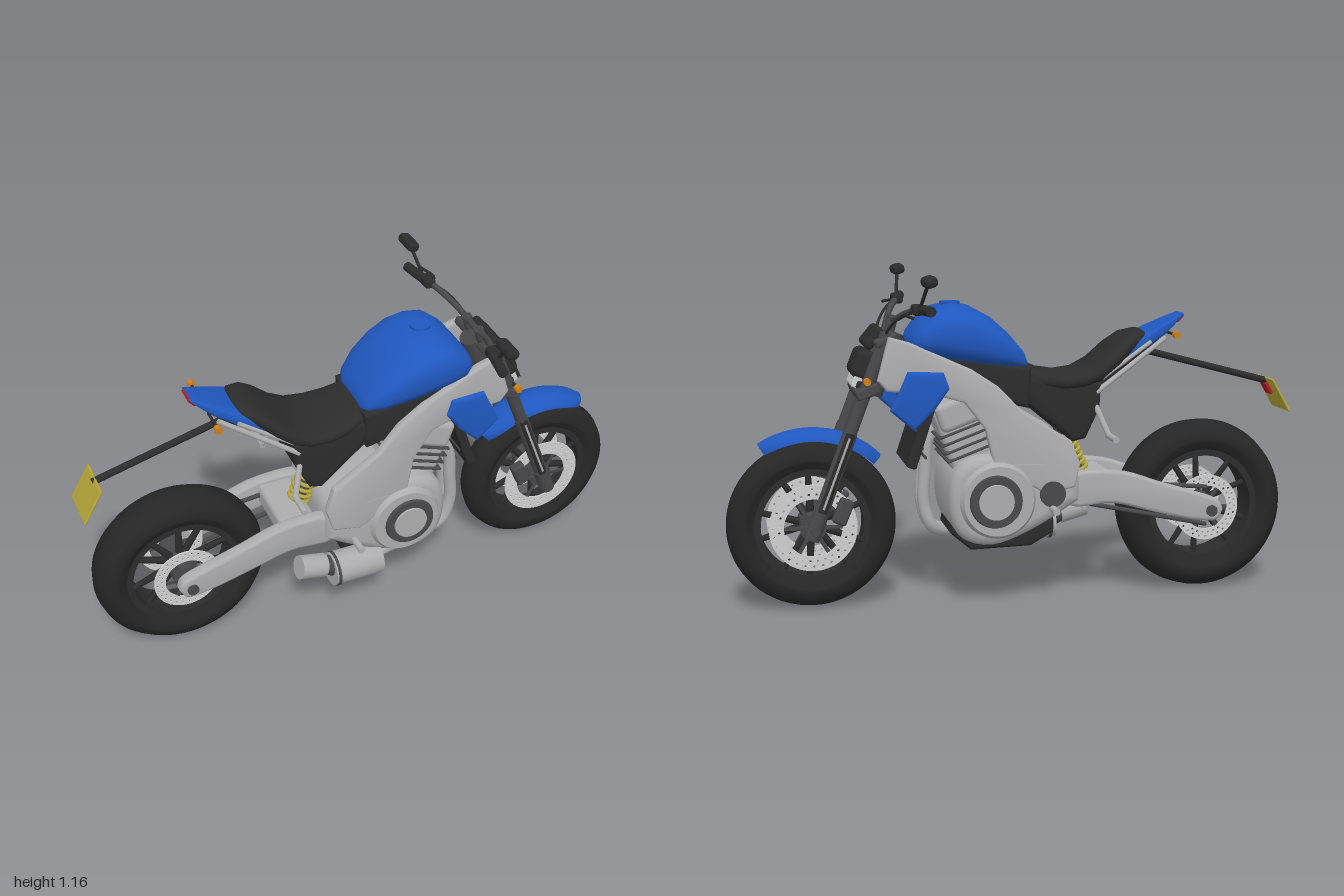
import * as THREE from 'three';
import { toCreasedNormals } from 'three/addons/utils/BufferGeometryUtils.js';
import { RoundedBoxGeometry } from 'three/addons/geometries/RoundedBoxGeometry.js';

const mat = (name, color, side = THREE.FrontSide) => {
  const m = new THREE.MeshStandardMaterial({ color, side });
  m.name = name;
  return m;
};
const blue = mat('blue paint', 0x2058c0, THREE.DoubleSide);
const rubber = mat('tyre rubber', 0x262626);
const black = mat('black plastic', 0x2c2c2c);
const steel = mat('dark metal', 0x48484b);
const grey = mat('grey metal', 0xacacae);
const silver = mat('light metal', 0xcfcfd0);
const orange = mat('orange lens', 0xd08018);
const red = mat('red lens', 0xb01c28);
const yellow = mat('yellow', 0xb8a83a);
const V = (p) => new THREE.Vector3(...p);

export function createModel() {
  const root = new THREE.Group();
  root.name = 'motorcycle';
  const add = (name, geo, material, pos = [0, 0, 0], rotZ = 0, parent = root) => {
    const m = new THREE.Mesh(geo, material);
    m.name = name;
    m.position.set(...pos);
    m.rotation.z = rotZ;
    parent.add(m);
    return m;
  };
  const box = (name, size, pos, material, rotZ = 0, r = 0.01, parent = root) =>
    add(name, new RoundedBoxGeometry(...size, 3, Math.min(r, ...size.map((s) => s * 0.49))), material, pos, rotZ, parent);
  // Cylinder between two points
  const rod = (name, a, b, r, material, r2 = r, parent = root, sides = 24) => {
    const A = V(a), B = V(b), d = B.clone().sub(A);
    const m = add(name, new THREE.CylinderGeometry(r2, r, d.length(), sides), material, [0, 0, 0], 0, parent);
    m.position.copy(A).add(B).multiplyScalar(0.5);
    m.quaternion.setFromUnitVectors(new THREE.Vector3(0, 1, 0), d.normalize());
    return m;
  };
  const tube = (name, pts, r, material) =>
    add(name, new THREE.TubeGeometry(new THREE.CatmullRomCurve3(pts.map(V)), 40, r, 12), material);
  // Side outline extruded across z, with softened edges
  const plate = (name, pts, z0, z1, material, bevel = 0.008, smooth = false, lean = 0) => {
    const p = pts.map((q) => new THREE.Vector2(...q));
    const shape = new THREE.Shape();
    if (smooth) { shape.moveTo(p[0].x, p[0].y); shape.splineThru([...p.slice(1), p[0]]); } else shape.setFromPoints(p);
    const g = new THREE.ExtrudeGeometry(shape, {
      depth: z1 - z0 - 2 * bevel, bevelEnabled: bevel > 0, bevelThickness: bevel, bevelSize: bevel,
      bevelOffset: -bevel, bevelSegments: 3, curveSegments: 4,
    });
    g.translate(0, 0, z0 + bevel);
    const a = g.attributes.position;
    const s = Math.sign(z0 + z1);
    for (let i = 0; i < a.count; i++) a.setZ(i, a.getZ(i) + s * lean * (0.94 - a.getY(i)));
    return add(name, toCreasedNormals(g, 0.6), material);
  };
  const sides = (f) => [1, -1].forEach(f);
  const pair = (name, pts, z0, z1, ...rest) =>
    sides((s) => plate(name, pts, s > 0 ? z0 : -z1, s > 0 ? z1 : -z0, ...rest));
  // Rounded skin through stations [x, bottom, top, half width]
  const loft = (name, st, material, power = 0.75, n = 32) => {
    const cap = ([x, b, t]) => [x, (b + t) / 2, (b + t) / 2, 0];
    const all = [cap(st[0]), ...st, cap(st[st.length - 1])];
    const pos = [], idx = [];
    const pw = (v) => Math.sign(v) * Math.abs(v) ** power;
    all.forEach(([x, b, t, w], i) => {
      for (let j = 0; j < n; j++) {
        const u = (j / n) * Math.PI * 2;
        pos.push(x, (b + t) / 2 + pw(Math.sin(u)) * (t - b) / 2, pw(Math.cos(u)) * w);
        if (i === all.length - 1) continue;
        const k = (j + 1) % n, a = i * n + j, d = i * n + k;
        idx.push(a, a + n, d + n, a, d + n, d);
      }
    });
    const g = new THREE.BufferGeometry();
    g.setAttribute('position', new THREE.Float32BufferAttribute(pos, 3));
    g.setIndex(idx);
    g.computeVertexNormals();
    return add(name, g, material);
  };
  const lathe = (pts, seg = 64, start = 0, len = Math.PI * 2) =>
    new THREE.LatheGeometry(pts.map((q) => new THREE.Vector2(...q)), seg, start, len).rotateX(Math.PI / 2);

  // Wheels: tyre, rim, paired spokes, drilled discs
  const disc = (ro, ri) => {
    const s = new THREE.Shape().absarc(0, 0, ro, 0, Math.PI * 2);
    s.holes.push(new THREE.Path().absarc(0, 0, ri, 0, Math.PI * 2, true));
    for (let k = 0; k < 56; k++) {
      const a = (k / 56) * Math.PI * 2, r = ri + (ro - ri) * (k % 2 ? 0.33 : 0.7);
      s.holes.push(new THREE.Path().absarc(r * Math.cos(a), r * Math.sin(a), 0.0042, 0, Math.PI * 2, true));
    }
    return new THREE.ExtrudeGeometry(s, { depth: 0.006, bevelEnabled: false, curveSegments: 20 }).translate(0, 0, -0.003);
  };
  const wheel = (name, x, y, R, w, rim, discR, discZ) => {
    const g = new THREE.Group();
    g.name = name;
    g.position.set(x, y, 0);
    root.add(g);
    const half = [[rim, 0.7], [rim + 0.025, 0.9], [R - 0.06, 1], [R - 0.03, 0.85], [R - 0.008, 0.5]];
    add('tyre', lathe([...half.map(([r, z]) => [r, -z * w]), [R, 0], ...half.reverse().map(([r, z]) => [r, z * w])]), rubber, [0, 0, 0], 0, g);
    const o = rim + 0.004, i = rim - 0.02, z = 0.72 * w;
    add('rim', toCreasedNormals(lathe([[o, -z], [o, z], [i, z], [i + 0.008, 0], [i, -z], [o, -z]]), 0.5), black, [0, 0, 0], 0, g);
    rod('hub', [0, 0, -discZ], [0, 0, discZ], 0.045, steel, 0.045, g);
    for (let k = 0; k < 10; k++) {
      const a = (Math.floor(k / 2) / 5) * Math.PI * 2 + (k % 2 ? 0.2 : -0.2), e = a + (k % 2 ? 0.06 : -0.06);
      rod('spoke', [0.03 * Math.cos(a), 0.03 * Math.sin(a), 0], [rim * Math.cos(e), rim * Math.sin(e), 0], 0.014, black, 0.01, g, 8);
    }
    sides((s) => {
      add('brakeDisc', disc(discR, discR * 0.66), silver, [0, 0, s * discZ], 0, g);
      for (let k = 0; k < 6; k++) {
        const a = (k / 6) * Math.PI * 2;
        box('discCarrier', [discR * 0.7, 0.014, 0.005], [discR * 0.36 * Math.cos(a), discR * 0.36 * Math.sin(a), s * discZ], steel, a, 0.002, g);
      }
    });
  };
  wheel('rearWheel', -0.685, 0.307, 0.305, 0.085, 0.2, 0.118, 0.095);
  wheel('frontWheel', 0.705, 0.295, 0.29, 0.06, 0.195, 0.15, 0.07);

  // Front fender: arc shell narrowed toward its ends
  const fender = lathe([[0.295, -0.066], [0.315, -0.06], [0.328, -0.04], [0.335, 0], [0.328, 0.04], [0.315, 0.06], [0.295, 0.066]],
    24, THREE.MathUtils.degToRad(148), THREE.MathUtils.degToRad(78));
  const fp = fender.attributes.position;
  for (let i = 0; i < fp.count; i++) {
    const a = Math.atan2(fp.getY(i), fp.getX(i)), u = Math.abs((a - 1.69) / 0.69);
    fp.setZ(i, fp.getZ(i) * (1 - 0.45 * u ** 5));
  }
  fender.computeVertexNormals();
  add('frontFender', fender, blue, [0.705, 0.295, 0]);

  // Fork and steering head
  const fork = (t, z) => [0.45 + 0.255 * t, 0.955 - 0.665 * t, z];
  sides((s) => {
    const z = s * 0.106;
    rod('forkUpper', fork(0, z), fork(0.55, z), 0.022, steel);
    rod('forkLower', fork(0.5, z), fork(0.98, z), 0.025, steel);
    rod('forkGuard', fork(0.5, s * 0.118), fork(0.9, s * 0.118), 0.017, black);
    rod('forkStrip', fork(0.52, s * 0.13), fork(0.88, s * 0.13), 0.006, grey);
    rod('forkFoot', fork(0.9, z), fork(1.04, z), 0.028, steel);
    box('caliper', [0.05, 0.09, 0.04], [0.605, 0.35, s * 0.085], steel, 0.4);
  });
  rod('frontAxle', [0.705, 0.295, -0.135], [0.705, 0.295, 0.135], 0.016, steel);
  box('upperClamp', [0.08, 0.03, 0.26], [0.455, 0.93, 0], steel, -0.36);
  box('lowerClamp', [0.08, 0.04, 0.26], [0.52, 0.76, 0], steel, -0.36);
  rod('steeringHead', [0.42, 0.95, 0], [0.5, 0.74, 0], 0.045, steel);

  // Headlight and instruments
  box('instrumentCowl', [0.035, 0.085, 0.175], [0.49, 0.935, 0], black, 0.7, 0.016);
  box('headlight', [0.07, 0.1, 0.175], [0.525, 0.845, 0], black, 0.38, 0.025);
  box('headlightLens', [0.03, 0.065, 0.16], [0.545, 0.8, 0], silver, 0.38, 0.006);
  box('headlightRim', [0.05, 0.03, 0.17], [0.53, 0.775, 0], black, 0.38);

  // Handlebar, grips, levers and mirrors
  tube('handlebar', [[0.34, 1.045, -0.36], [0.36, 1.045, -0.28], [0.39, 1.03, -0.19], [0.42, 1, -0.09], [0.42, 0.995, 0],
    [0.42, 1, 0.09], [0.39, 1.03, 0.19], [0.36, 1.045, 0.28], [0.34, 1.045, 0.36]], 0.011, steel);
  sides((s) => {
    rod('grip', [0.36, 1.045, s * 0.26], [0.342, 1.045, s * 0.365], 0.017, black);
    box('switchBox', [0.04, 0.035, 0.06], [0.368, 1.043, s * 0.25], black);
    tube('lever', [[0.385, 1.04, s * 0.24], [0.41, 1.03, s * 0.29], [0.395, 1.025, s * 0.38]], 0.005, black);
    rod('mirrorStalk', [0.365, 1.05, s * 0.285], [0.35, 1.13, s * 0.355], 0.006, black);
    box('mirror', [0.045, 0.035, 0.098], [0.348, 1.14, s * 0.368], black, -0.3, 0.015);
    rod('barRiser', [0.44, 0.935, s * 0.045], [0.42, 1.005, s * 0.045], 0.017, steel);
    tube('cable', [[0.38, 1.04, s * 0.24], [0.43, 1, s * 0.17], [0.46, 0.94, s * 0.11], [0.46, 0.86, s * 0.06]], 0.005, black);
    // Turn signals
    rod('frontSignalStalk', [0.52, 0.8, s * 0.1], [0.525, 0.8, s * 0.155], 0.005, black);
    rod('frontSignal', [0.525, 0.8, s * 0.148], [0.525, 0.8, s * 0.17], 0.012, orange);
    rod('rearSignalStalk', [-0.55, 0.93, s * 0.04], [-0.55, 0.93, s * 0.13], 0.005, black);
    rod('rearSignal', [-0.55, 0.93, s * 0.125], [-0.55, 0.93, s * 0.148], 0.012, orange);
  });

  // Tank, seat and tail
  loft('fuelTank', [[-0.035, 0.82, 0.85, 0.085], [-0.02, 0.815, 0.885, 0.12], [0.03, 0.815, 0.945, 0.15], [0.09, 0.82, 0.998, 0.166],
    [0.16, 0.83, 1.036, 0.174], [0.22, 0.84, 1.046, 0.174], [0.28, 0.855, 1.035, 0.17], [0.33, 0.87, 0.995, 0.155],
    [0.36, 0.89, 0.955, 0.125], [0.372, 0.905, 0.93, 0.08]], blue);
  rod('fuelCap', [0.22, 1.035, 0], [0.22, 1.05, 0], 0.035, blue);
  loft('seat', [[-0.465, 0.915, 0.935, 0.06], [-0.45, 0.895, 0.945, 0.085], [-0.4, 0.855, 0.935, 0.115], [-0.35, 0.81, 0.9, 0.135],
    [-0.29, 0.765, 0.845, 0.142], [-0.23, 0.745, 0.812, 0.142], [-0.16, 0.74, 0.803, 0.14], [-0.09, 0.745, 0.815, 0.128],
    [-0.03, 0.75, 0.84, 0.115], [0, 0.77, 0.85, 0.1]], black);
  loft('tail', [[-0.605, 0.985, 0.998, 0.042], [-0.54, 0.925, 0.972, 0.068], [-0.46, 0.875, 0.935, 0.095],
    [-0.4, 0.845, 0.9, 0.108], [-0.33, 0.79, 0.835, 0.112], [-0.26, 0.75, 0.775, 0.1]], blue, 0.5);
  sides((s) => {
    rod('subframeRail', [-0.53, 0.915, s * 0.075], [-0.27, 0.735, s * 0.118], 0.009, grey);
    rod('tailTrim', [-0.47, 0.905, s * 0.1], [-0.29, 0.785, s * 0.122], 0.007, grey);
  });
  box('tailLight', [0.012, 0.035, 0.07], [-0.598, 0.98, 0], red, 0.7, 0.004);
  box('undertray', [0.26, 0.03, 0.13], [-0.4, 0.84, 0], black, -0.62);

  // Plate holder
  rod('plateArm', [-0.42, 0.88, 0], [-0.945, 0.742, 0], 0.012, black);
  box('numberPlate', [0.008, 0.135, 0.16], [-0.967, 0.698, 0], yellow, -0.53, 0.003);
  box('plateReflector', [0.012, 0.045, 0.05], [-0.942, 0.717, 0], red, -0.53, 0.003);

  // Frame beams and centre body
  pair('frameBeam', [[-0.2, 0.5], [-0.17, 0.58], [0.0, 0.685], [0.08, 0.77], [0.17, 0.83], [0.38, 0.925], [0.45, 0.945], [0.49, 0.8],
    [0.46, 0.765], [0.3, 0.75], [0.2, 0.72], [0.13, 0.63], [0.1, 0.5], [-0.08, 0.4], [-0.18, 0.42]], 0.115, 0.15, grey, 0.01, false, 0.08);
  plate('sidePanels', [[-0.29, 0.77], [0.0, 0.8], [-0.03, 0.7], [-0.15, 0.6], [-0.19, 0.565], [-0.235, 0.575], [-0.285, 0.68]], -0.125, 0.125, black, 0.02);
  plate('airbox', [[-0.04, 0.83], [0.3, 0.88], [0.3, 0.76], [0.1, 0.72], [-0.03, 0.69]], -0.135, 0.135, black, 0.015);

  // Engine
  plate('crankcase', [[-0.2, 0.37], [-0.19, 0.49], [-0.1, 0.535], [0.08, 0.54], [0.19, 0.525], [0.245, 0.46], [0.25, 0.34],
    [0.21, 0.255], [0.1, 0.225], [-0.05, 0.28]], -0.185, 0.185, grey, 0.035, true);
  box('cylinderBlock', [0.17, 0.26, 0.25], [0.18, 0.59, 0], grey, -0.35, 0.02);
  box('cylinderHead', [0.16, 0.1, 0.3], [0.21, 0.685, 0], grey, -0.35, 0.02);
  for (let k = 0; k < 4; k++) box('coolingFin', [0.19, 0.008, 0.27], [0.165 + k * 0.01, 0.545 + k * 0.027, 0], steel, -0.35, 0.003);
  sides((s) => {
    rod('sideCase', [0.09, 0.385, s * 0.17], [0.09, 0.385, s * 0.205], 0.14, grey, 0.12, root, 40);
    rod('coverRing', [0.1, 0.385, s * 0.2], [0.1, 0.385, s * 0.215], 0.093, steel, 0.088, root, 40);
    rod('coverCap', [0.1, 0.385, s * 0.2], [0.1, 0.385, s * 0.222], 0.065, grey, 0.06, root, 40);
  });
  rod('sprocketCover', [-0.1, 0.4, -0.17], [-0.1, 0.4, -0.195], 0.045, steel);
  plate('skidPlate', [[-0.12, 0.3], [0.23, 0.32], [0.24, 0.26], [0.17, 0.2], [-0.04, 0.205], [-0.12, 0.25]], -0.12, 0.12, black, 0.01);

  // Radiator and shrouds
  box('radiator', [0.035, 0.27, 0.27], [0.335, 0.625, 0], black, 0.32, 0.008);
  for (let k = 0; k < 7; k++) box('radiatorFin', [0.006, 0.01, 0.23], [0.322 + k * 0.0106 + 0.002, 0.71 - k * 0.032 + 0.01, 0], steel, 0.32, 0.002)
    .position.x = 0.387 - (6 - (6 - k)) * 0.0 - 0.006 - (0.0 + k * 0.0) + (k - 3) * -0.0107 - 0.025;
  pair('radiatorShroud', [[0.27, 0.825], [0.39, 0.83], [0.45, 0.7], [0.37, 0.63], [0.3, 0.7], [0.25, 0.77]], 0.14, 0.176, blue, 0.012);

  // Exhaust
  [0.1, 0.04].forEach((z) => tube('exhaustHeader', [[0.25, 0.64, z], [0.295, 0.56, z], [0.305, 0.45, z], [0.31, 0.34, z],
    [0.28, 0.255, z], [0.2, 0.222, 0.1], [0.05, 0.21, 0.12], [-0.05, 0.21, 0.15]], 0.022, grey));
  rod('muffler', [0, 0.215, 0.155], [-0.185, 0.225, 0.165], 0.06, grey);
  rod('mufflerBand', [-0.165, 0.224, 0.165], [-0.175, 0.224, 0.165], 0.063, steel);
  rod('mufflerNeck', [-0.17, 0.235, 0.165], [-0.23, 0.265, 0.165], 0.035, steel);
  rod('mufflerTip', [-0.21, 0.255, 0.165], [-0.305, 0.28, 0.17], 0.042, grey);

  // Swingarm, chain and shock
  pair('swingarm', [[-0.73, 0.31], [-0.71, 0.345], [-0.63, 0.375], [-0.5, 0.415], [-0.36, 0.46], [-0.2, 0.465], [-0.12, 0.42],
    [-0.18, 0.345], [-0.32, 0.35], [-0.46, 0.315], [-0.6, 0.28], [-0.7, 0.27]], 0.11, 0.157, grey, 0.012, true);
  box('swingarmBridge', [0.13, 0.08, 0.26], [-0.28, 0.41, 0], grey, 0, 0.02);
  rod('rearAxle', [-0.685, 0.307, -0.165], [-0.685, 0.307, 0.165], 0.02, steel);
  [0.075, -0.06].forEach((d) => rod('chainRun', [-0.685, 0.307 + d, -0.1], [-0.12, 0.4 + d * 0.5, -0.1], 0.008, steel));
  rod('shockBody', [-0.16, 0.62, 0], [-0.25, 0.41, 0], 0.022, steel);
  for (let k = 0; k < 7; k++) {
    const c = add('shockSpring', new THREE.TorusGeometry(0.036, 0.007, 8, 24).rotateX(Math.PI / 2), yellow, [-0.18 - k * 0.009, 0.575 - k * 0.021, 0]);
    c.rotation.z = -0.4;
  }

  // Foot pegs
  sides((s) => {
    rod('riderPeg', [-0.1, 0.35, s * 0.17], [-0.1, 0.35, s * 0.25], 0.012, grey);
    rod('pegHanger', [-0.265, 0.7, s * 0.11], [-0.305, 0.59, s * 0.16], 0.01, grey);
    rod('passengerPeg', [-0.305, 0.59, s * 0.15], [-0.305, 0.59, s * 0.25], 0.011, grey);
  });
  return root;
}
